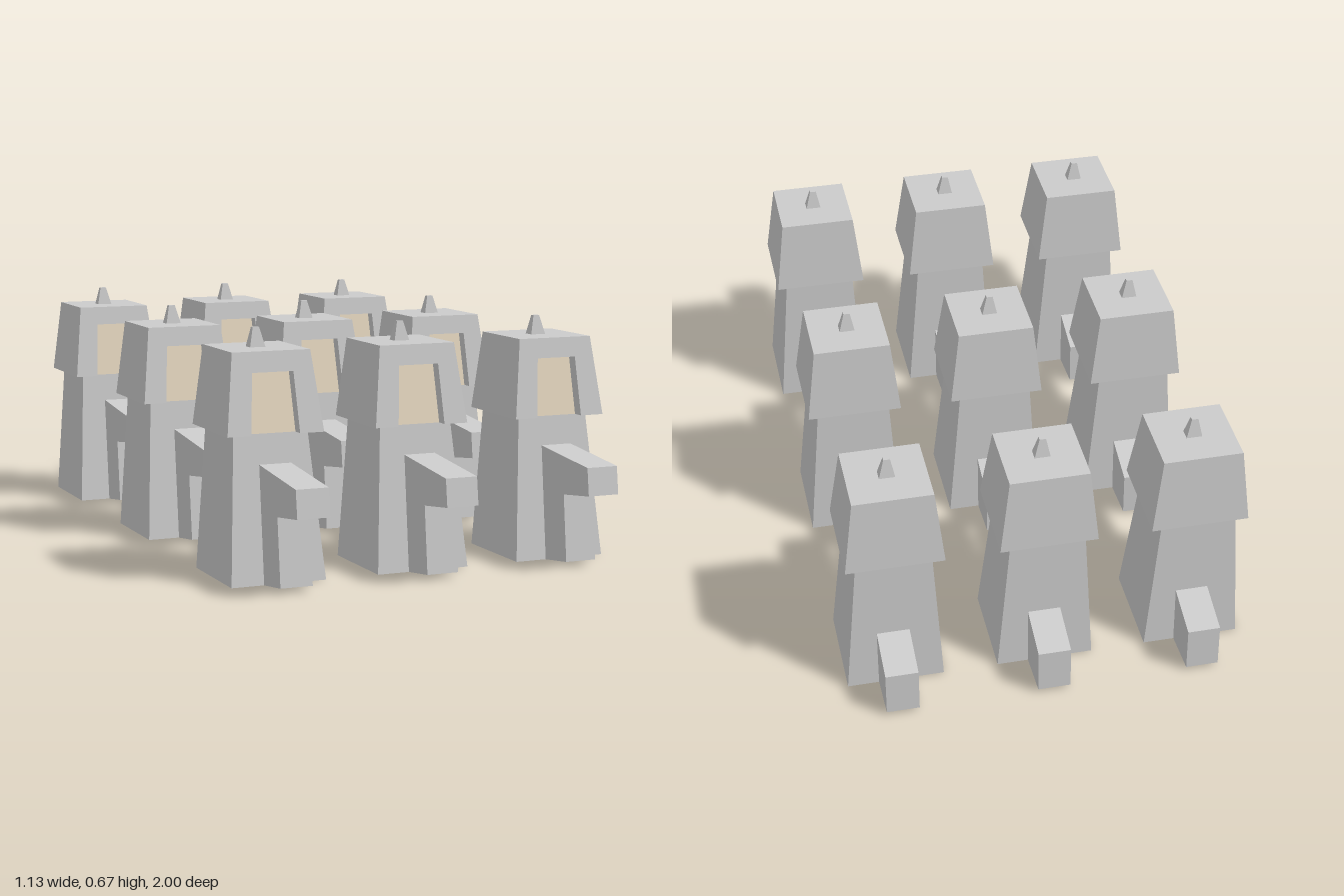
import * as THREE from 'three';

const grey = new THREE.MeshStandardMaterial({ color: 0xcccccc, flatShading: true });
const tan = new THREE.MeshStandardMaterial({ color: 0xe6d8c0, flatShading: true });

const lerp = THREE.MathUtils.lerp;
const shapeOf = (pts) => new THREE.Shape(pts.map(([a, b]) => new THREE.Vector2(a, b)));

// Tapered block between two rectangles [x0, x1, z0, z1] at heights y0 and y1
function taperedBlock(y0, bottom, y1, top) {
  const g = new THREE.BoxGeometry(1, 1, 1);
  const p = g.attributes.position;
  for (let i = 0; i < p.count; i++) {
    const r = p.getY(i) > 0 ? top : bottom;
    p.setXYZ(i, p.getX(i) > 0 ? r[1] : r[0], p.getY(i) > 0 ? y1 : y0, p.getZ(i) > 0 ? r[3] : r[2]);
  }
  g.computeVertexNormals();
  return g;
}

// Side profile of [z, y] points, extruded across x0..x1
function sideProfile(pts, x0, x1) {
  const g = new THREE.ExtrudeGeometry(shapeOf(pts), { depth: x1 - x0, bevelEnabled: false });
  return g.rotateY(-Math.PI / 2).translate(x1, 0, 0);
}

// Hood dimensions: front surface leans back as it rises
const HOOD_Y0 = 0.402, HOOD_Y1 = 0.62, RECESS = 0.035;
const hoodFront = (y) => lerp(0.145, 0.115, (y - HOOD_Y0) / (HOOD_Y1 - HOOD_Y0));

// Front outline of [x, y] points, given thickness and leaned to follow the hood front
function leaningPanel(pts, inset, depth) {
  const g = new THREE.ExtrudeGeometry(shapeOf(pts), { depth, bevelEnabled: false });
  const p = g.attributes.position;
  for (let i = 0; i < p.count; i++) p.setZ(i, hoodFront(p.getY(i)) - inset - depth + p.getZ(i));
  g.computeVertexNormals();
  return g;
}

const opening = [[0.06, HOOD_Y0], [0.05, 0.565], [-0.067, 0.565], [-0.077, HOOD_Y0]];

const parts = {
  body: [taperedBlock(0, [-0.132, 0.138, -0.138, 0.137], 0.41, [-0.109, 0.101, -0.118, 0.094]), grey],
  // raised arm with sleeve and knee below it
  armAndKnee: [sideProfile([
    [0.05, 0], [0.137, 0], [0.252, 0.015], [0.232, 0.2], [0.367, 0.217],
    [0.357, 0.293], [0.102, 0.318], [0.05, 0.318],
  ], -0.04, 0.051), grey],
  rearFoot: [sideProfile([
    [-0.09, 0], [-0.09, 0.186], [-0.128, 0.175], [-0.262, 0.137], [-0.267, 0.01], [-0.138, 0],
  ], -0.04, 0.051), grey],
  hoodBack: [taperedBlock(HOOD_Y0, [-0.144, 0.129, -0.125, 0.145 - RECESS],
    HOOD_Y1, [-0.12, 0.101, -0.106, 0.115 - RECESS]), grey],
  // frame around the face, open at the bottom
  hoodFrame: [leaningPanel([
    [0.129, HOOD_Y0], [0.101, HOOD_Y1], [-0.12, HOOD_Y1], [-0.144, HOOD_Y0], ...opening.slice().reverse(),
  ], 0, RECESS), grey],
  face: [leaningPanel(opening, RECESS - 0.002, 0.002), tan],
  hoodTip: [taperedBlock(HOOD_Y1, [-0.032, 0.012, -0.013, 0.02], 0.673, [-0.021, -0.003, -0.002, 0.011]), grey],
};

function createFigure() {
  const figure = new THREE.Group();
  for (const [name, [geometry, material]] of Object.entries(parts)) {
    const mesh = new THREE.Mesh(geometry, material);
    mesh.name = name;
    figure.add(mesh);
  }
  return figure;
}

export function createModel() {
  const model = new THREE.Group();
  model.name = 'hoodedFigures';
  // three rows of three identical figures
  for (let row = -1; row <= 1; row++) {
    for (let col = -1; col <= 1; col++) {
      const figure = createFigure();
      figure.name = `figureRow${row + 2}Column${col + 2}`;
      figure.position.set(col * 0.423, 0, -0.05 + row * 0.683);
      model.add(figure);
    }
  }
  return model;
}
